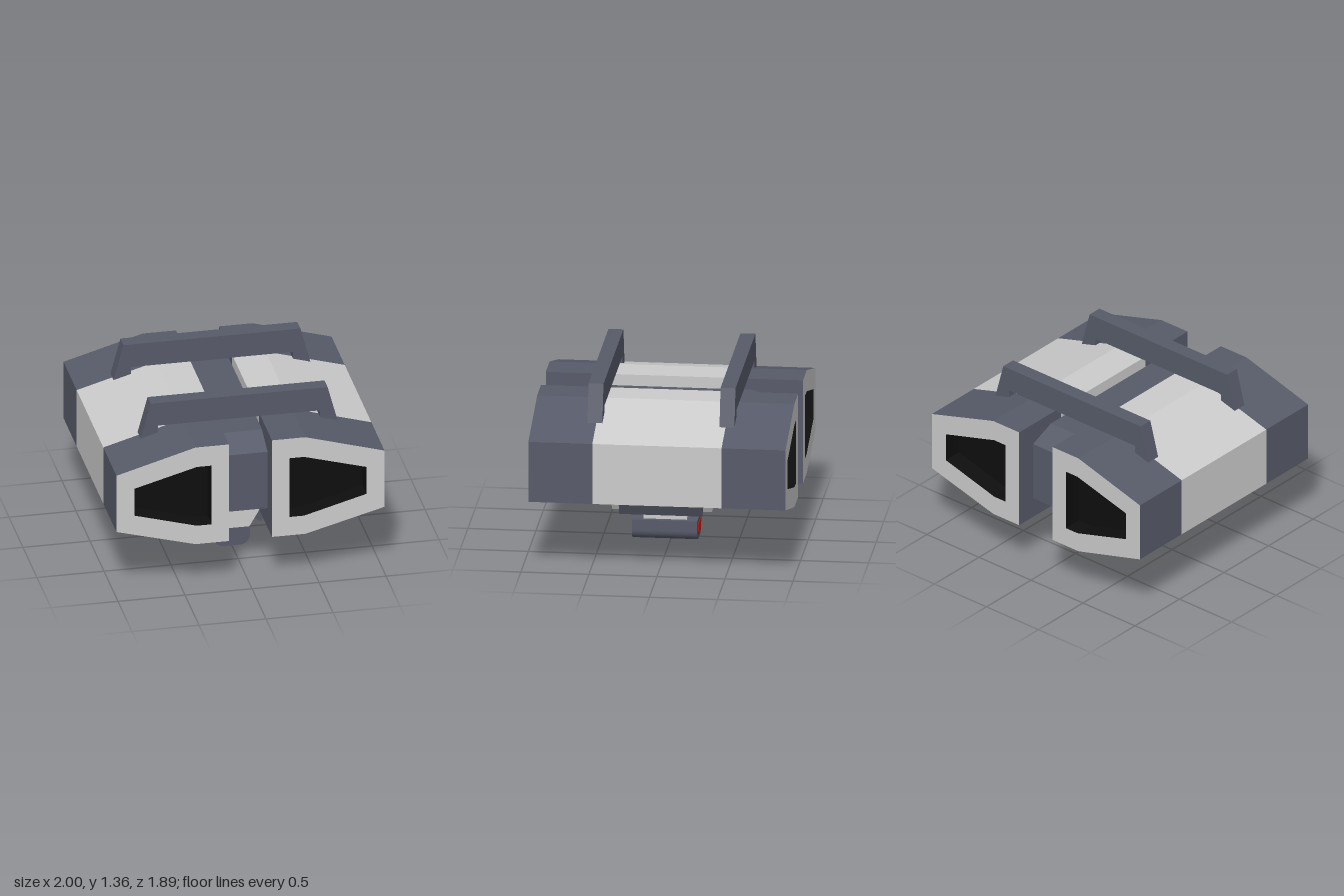
import * as THREE from 'three';

const mat = (color, flatShading = true) => new THREE.MeshStandardMaterial({ color, flatShading });
const grey = mat(0xcccccc), slate = mat(0x575b69), slateSmooth = mat(0x575b69, false);
const black = mat(0x0e0e0e), red = mat(0xd01a10);

// Hull and intake outlines of the left pod, anticlockwise
const HULL = [[0.16, 0.38], [0.41, 0.38], [1, 0.54], [1, 1], [0.41, 1.17], [0.16, 1.17]];
const INTAKE = [[0.29, 0.53], [0.4, 0.53], [0.865, 0.66], [0.865, 0.88], [0.4, 1.01], [0.29, 1.01]];

const toShape = pts => new THREE.Shape(pts.map(p => new THREE.Vector2(...p)));
const mirror = (pts, s) => s > 0 ? pts : pts.map(([x, y]) => [-x, y]).reverse();

function add(parent, name, geometry, material) {
  const mesh = new THREE.Mesh(geometry, material);
  mesh.name = name;
  parent.add(mesh);
  return mesh;
}

// Open skin swept along z around an anticlockwise outline
function band(pts, z0, z1) {
  const pos = [];
  pts.forEach(([ax, ay], i) => {
    const [bx, by] = pts[(i + 1) % pts.length];
    pos.push(ax, ay, z0, bx, by, z0, bx, by, z1, ax, ay, z0, bx, by, z1, ax, ay, z1);
  });
  const g = new THREE.BufferGeometry();
  g.setAttribute('position', new THREE.Float32BufferAttribute(pos, 3));
  g.computeVertexNormals();
  return g;
}

// Solid prism between two z positions
function prism(shape, z0, z1) {
  return new THREE.ExtrudeGeometry(shape, { depth: z1 - z0, bevelEnabled: false, curveSegments: 8 })
    .translate(0, 0, z0);
}

function box(parent, name, material, [x0, x1], [y0, y1], [z0, z1]) {
  const g = new THREE.BoxGeometry(x1 - x0, y1 - y0, z1 - z0);
  g.translate((x0 + x1) / 2, (y0 + y1) / 2, (z0 + z1) / 2);
  return add(parent, name, g, material);
}

// Front end of one pod: dark skin, pale rim and black recess
function podEnd(s) {
  const end = new THREE.Group();
  const hull = mirror(HULL, s), hole = mirror(INTAKE, s);
  const rim = toShape(hull);
  rim.holes.push(toShape(hole));
  add(end, 'podEndSkin', band(hull, 0.475, 0.945), slate);
  add(end, 'podRim', new THREE.ShapeGeometry(rim).translate(0, 0, 0.945), grey);
  add(end, 'intakeWall', band([...hole].reverse(), 0.8, 0.945), black);
  add(end, 'intakeBack', new THREE.ShapeGeometry(toShape(hole)).translate(0, 0, 0.8), black);
  return end;
}

export function createModel() {
  const model = new THREE.Group();
  model.name = 'twinPodCraft';

  // Side pods
  for (const s of [1, -1]) {
    const pod = new THREE.Group();
    pod.name = s > 0 ? 'leftPod' : 'rightPod';
    add(pod, 'podMiddle', band(mirror(HULL, s), -0.475, 0.475), grey);
    const front = podEnd(s), back = podEnd(-s);
    front.name = 'podFront';
    back.name = 'podBack';
    back.rotation.y = Math.PI;
    pod.add(front, back);
    model.add(pod);
  }

  // Central spine with bevelled ends, profile drawn in z and y
  const spine = toShape([[-0.79, 0.54], [-0.59, 0.46], [0.59, 0.46], [0.79, 0.54],
    [0.79, 1], [0.59, 1.085], [-0.59, 1.085], [-0.79, 1]]);
  add(model, 'spine', prism(spine, -0.16, 0.16).rotateY(-Math.PI / 2), slate);

  // Two carrying bars over the pods
  const bar = toShape([[-0.735, 1.075], [-0.605, 1.11], [-0.605, 1.17], [0.605, 1.17],
    [0.605, 1.11], [0.735, 1.075], [0.66, 1.355], [-0.66, 1.355]]);
  for (const z of [-0.485, 0.485])
    add(model, z > 0 ? 'frontBar' : 'backBar', prism(bar, z - 0.055, z + 0.055), slate);

  // Mount beneath the spine, with slanted side panels
  const mount = toShape([[-0.1, 0.22], [0.1, 0.22], [0.19, 0.375], [0.16, 0.385], [0.16, 0.46],
    [-0.16, 0.46], [-0.16, 0.385], [-0.19, 0.375]]);
  add(model, 'mount', prism(mount, -0.305, 0.43), grey);
  const panel = [[0.135, 0.265], [0.2, 0.215], [0.255, 0.325], [0.195, 0.37]];
  for (const s of [1, -1])
    add(model, 'mountPanel', prism(toShape(mirror(panel, s)), -0.245, 0.365), slate);
  box(model, 'mountRearBlock', slate, [-0.1, 0.1], [0.34, 0.46], [-0.385, -0.3]);
  box(model, 'neck', grey, [-0.1, 0.1], [0.15, 0.225], [-0.12, 0.2]);

  // Sensor pod with rounded lower edges and a red rear lens
  const w = 0.135, r = 0.075;
  const body = new THREE.Shape();
  body.moveTo(w, 0.155).lineTo(-w, 0.155).lineTo(-w, r);
  body.absarc(-w + r, r, r, Math.PI, 1.5 * Math.PI);
  body.absarc(w - r, r, r, 1.5 * Math.PI, 2 * Math.PI);
  add(model, 'sensorBody', prism(body, -0.2, 0.28), slateSmooth);
  const lens = toShape([[-0.06, 0.035], [0.06, 0.035], [0.09, 0.065], [0.09, 0.12],
    [-0.09, 0.12], [-0.09, 0.065]]);
  add(model, 'sensorLens', prism(lens, -0.204, -0.19), red);

  return model;
}
